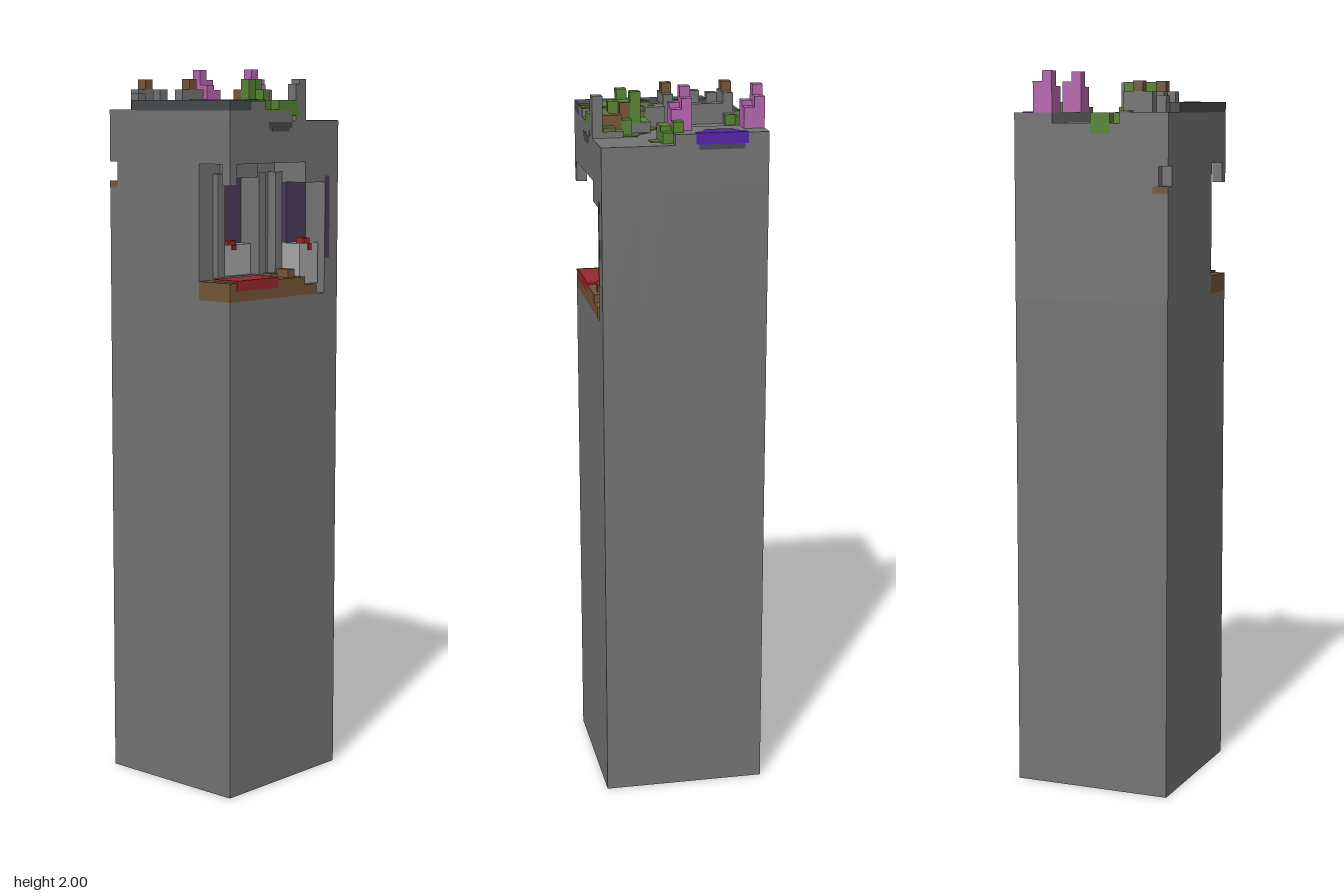
import * as THREE from 'three';

const U = 2 / 71; // one block
const mat = (name, color) => Object.assign(new THREE.MeshStandardMaterial({ color }), { name });

export function createModel() {
  const model = new THREE.Group();
  model.name = 'stoneColumn';
  const stone = mat('stone grey', 0x747474), slate = mat('dark slate', 0x474b4d);
  const moss = mat('moss green', 0x578333), olive = mat('olive green', 0x5c6b37);
  const wood = mat('wood brown', 0x745638), red = mat('red', 0x98282c);
  const pale = mat('pale grey', 0xa8a8a8), pink = mat('crystal pink', 0xb566ad);
  const violet = mat('violet', 0x5722ac), plum = mat('dark plum', 0x4c3c5a);

  const part = (name) => {
    const g = new THREE.Group();
    g.name = name;
    model.add(g);
    return g;
  };
  // Each box is [x0, x1, y0, y1, z0, z1] in blocks, from the back left bottom corner
  const boxes = (parent, name, material, list) => {
    for (const [x0, x1, y0, y1, z0, z1] of list) {
      const m = new THREE.Mesh(
        new THREE.BoxGeometry((x1 - x0) * U, (y1 - y0) * U, (z1 - z0) * U), material);
      m.position.set(((x0 + x1) / 2 - 8) * U, (y0 + y1) / 2 * U, ((z0 + z1) / 2 - 8) * U);
      m.name = name;
      parent.add(m);
    }
  };
  // Thin flat patch lying on height y, outlined by [x, z] points in blocks
  const patch = (parent, name, material, y, pts) => {
    const s = new THREE.Shape(pts.map(([x, z]) => new THREE.Vector2((x - 8) * U, (8 - z) * U)));
    const geo = new THREE.ExtrudeGeometry(s, { depth: 0.002, bevelEnabled: false }).rotateX(-Math.PI / 2);
    const m = new THREE.Mesh(geo, material);
    m.position.y = y * U;
    m.name = name;
    parent.add(m);
  };

  // Column, with a room cut into the front left corner and a nick at the back
  const body = part('column');
  boxes(body, 'columnStone', stone, [
    [0, 16, 0, 49, 0, 16],
    [0, 1, 49, 60, 0, 1], [0, 1, 49, 62, 1, 10], [1, 16, 49, 62, 0, 10],
    [0, 3, 49, 62, 10, 12], [8, 16, 49, 62, 10, 12], [3, 8, 61, 62, 10, 12], [3, 8, 49, 51, 10, 12],
    [14, 16, 49, 62, 12, 16], [11, 14, 60, 62, 12, 16],
    [0, 16, 62, 66, 0, 16],
  ]);
  boxes(body, 'backLedge', wood, [[0, 1.6, 59.4, 60.1, -0.02, 1]]);
  boxes(body, 'frontStain', slate, [[5.5, 9, 65.3, 65.9, 15.9, 16.02], [6, 8.5, 65, 65.3, 15.9, 16.02]]);

  // Room in the front corner
  const room = part('room');
  boxes(room, 'floor', wood, [[0, 11, 49, 50.8, 12, 16], [11, 12.8, 49, 50, 12, 16], [7, 8, 50.8, 51.3, 14, 15], [9, 10, 50.8, 51.6, 14, 15.5]]);
  boxes(room, 'rug', red, [[1, 7, 50, 51, 13, 16.02]]);
  boxes(room, 'pillar', stone, [[2, 3, 51, 61, 12, 12.6], [8, 9, 51, 61, 12, 12.6], [10, 11, 51, 61, 12, 13], [3, 8, 60.5, 62, 12, 12.4]]);
  boxes(room, 'hangingCorner', stone, [[0, 1, 60, 62, 15, 16]]);
  boxes(room, 'alcoveBack', plum, [[3, 8, 54, 61, 10, 10.2], [11, 14, 54, 60, 12, 13.5]]);
  boxes(room, 'sideStain', plum, [[14, 14.7, 52.5, 60.6, 15.9, 16.02]]);
  boxes(room, 'counter', pale, [[3, 8, 51, 54, 10.2, 11.5], [11, 13.8, 50, 54, 13, 15.3]]);
  boxes(room, 'redOrnament', red, [
    [4.9, 6.1, 54, 54.4, 10.6, 11.3], [5.2, 5.8, 53.5, 54, 11.4, 11.6],
    [12, 12.9, 54, 54.5, 14, 15], [12.2, 12.7, 53.3, 54, 15.2, 15.4],
  ]);

  // Stepped top of the column
  const top = part('top');
  boxes(top, 'topStone', stone, [
    [0, 5, 66, 67, 0, 16], [12, 16, 66, 67, 0, 9],
    [2, 5, 67, 67.9, 8, 16], [5, 9, 66, 67, 10, 16], [9, 11, 66, 66.6, 13, 15],
  ]);
  boxes(top, 'slateEdge', slate, [[0, 2, 67, 68, 3, 16], [2, 3, 67, 68, 11, 16.01]]);
  patch(top, 'slatePatch', slate, 67, [[0, 0], [4, 0], [4, 1], [2, 1], [2, 2], [1, 2], [1, 3], [2, 3], [2.6, 5], [2.6, 6], [2, 7], [2, 8], [0, 8]]);
  patch(top, 'slateBorder', slate, 67.9, [[2, 8], [4, 8], [4, 9], [3, 9], [3, 10], [2, 10]]);

  // Ruined ring with wooden posts
  const ring = part('ruinedRing');
  boxes(ring, 'ringStone', stone, [
    [2, 5, 67, 69, 1, 2], [2, 5, 67, 69, 7, 8], [4, 5, 67, 68, 2, 7],
    [2, 3, 67, 69, 4, 5], [1, 2, 67, 68.6, 2, 3], [5, 6, 66, 68, 8, 10],
  ]);
  boxes(ring, 'post', wood, [[3, 4, 69, 70, 1, 2], [3, 4, 69, 70, 7, 8]]);

  // Moss mound, its stump and the tall stone beside it
  const mound = part('mossMound');
  patch(mound, 'mossPatch', moss, 67.95, [[2, 10], [5, 10], [5, 16], [4, 16], [4, 15], [3, 15], [3, 14], [2, 13.5]]);
  patch(mound, 'mossFringe', olive, 67.95, [[3, 10], [3, 9], [4, 9], [4, 8], [5, 8], [5, 10]]);
  patch(mound, 'earthPatch', wood, 68, [[1, 10.3], [1.4, 9.5], [2, 9.2], [2, 11.4], [1, 11.4]]);
  patch(mound, 'earthPatch', wood, 68, [[3, 15], [4, 15], [4, 16], [3, 16]]);
  patch(mound, 'moundTop', moss, 67, [[5, 10], [9, 10], [9, 16], [5, 16]]);
  patch(mound, 'lowFringe', olive, 66, [[6, 9], [7, 9], [8, 10], [9, 10.2], [9.8, 11.3], [10.8, 11.6], [10.8, 13], [9, 13], [6, 10]]);
  boxes(mound, 'oliveBlock', olive, [[5, 6, 67, 67.6, 10, 15], [9.8, 11.2, 66.6, 67, 13.8, 15]]);
  boxes(mound, 'stump', wood, [[6, 8, 67, 69, 11, 12], [8, 9, 67, 69, 12, 13], [9, 10, 66, 68, 13, 15]]);
  boxes(mound, 'mossBlock', moss, [
    [8, 9, 67, 70, 11, 12], [6, 7, 67, 70, 12, 13], [7, 8, 67, 69, 12, 14],
    [7, 10, 66.5, 68, 14, 16], [9, 10, 66, 67.5, 12, 13], [6, 7, 67, 68, 14, 15],
  ]);
  boxes(mound, 'tallStone', stone, [[10, 11, 66, 70, 15, 16], [9.5, 10, 66, 69.5, 15, 16]]);

  // Moss hanging over the back edge and under the crystals
  const hanging = part('edgeMoss');
  boxes(hanging, 'backMoss', moss, [[6, 8, 65, 67, -0.02, 1], [5, 6, 66, 67, 1, 2]]);
  boxes(hanging, 'backFringe', olive, [[4, 5, 67, 67.2, 0, 1]]);
  boxes(hanging, 'crystalMoss', moss, [[12, 14, 66, 67.5, 9, 10], [14, 15, 66, 68, 8, 9], [14, 15, 66, 67, 9, 10]]);
  patch(hanging, 'mossFringe', olive, 66, [[12.6, 10], [14.4, 10], [14, 11], [13, 11]]);

  // Two crystal clusters
  const crystals = part('crystals');
  for (const z of [0, 7]) {
    boxes(crystals, 'crystal', pink, [
      [12, 13, 67, 71, z, z + 1], [13, 14, 67, 70, z, z + 1],
      [12, 13, 67, 69.5, z + 1, z + 2], [13, 14, 67, 69, z + 1, z + 2],
    ]);
  }

  // Violet stain spilling over the right edge
  const stain = part('violetStain');
  patch(stain, 'stainTop', violet, 67, [[16, 2], [15.5, 2], [15.3, 2.6], [14, 3.2], [14, 5.7], [15, 6.2], [15.5, 7], [16, 7]]);
  boxes(stain, 'stainSide', violet, [[15.9, 16.03, 66, 67.05, 2, 7]]);
  boxes(stain, 'stainShade', slate, [[15.9, 16.03, 65.5, 66, 2.3, 6.7]]);
  return model;
}
